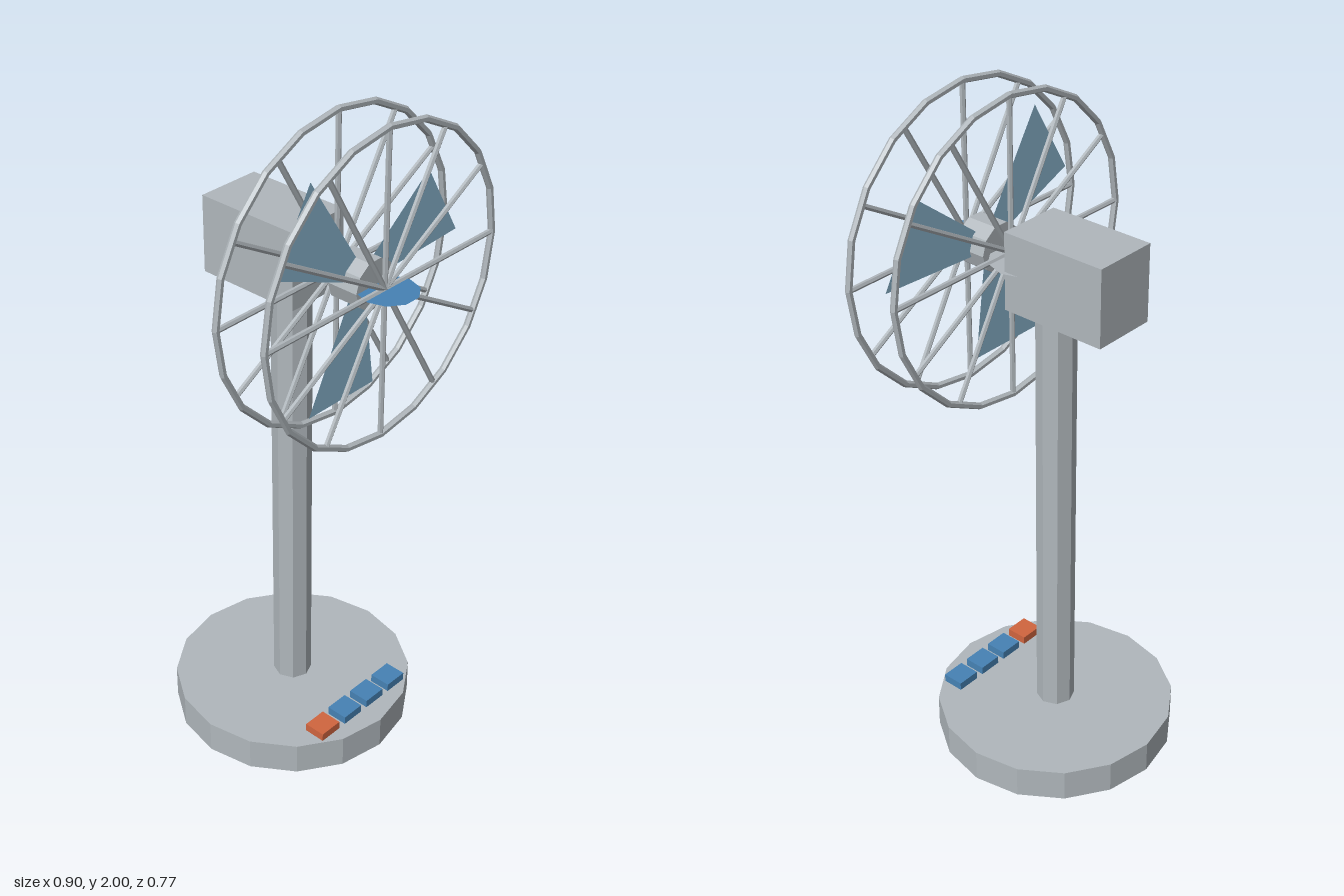
import * as THREE from 'three';

const mat = (name, color) => {
  const m = new THREE.MeshStandardMaterial({ color, flatShading: true });
  m.name = name;
  return m;
};

export function createModel() {
  const grey = mat('grey', 0xb0b7bc);
  const blue = mat('blue', 0x4682b4);
  const paleBlue = mat('paleBlue', 0x8bb6d0);
  const orange = mat('orange', 0xd0653f);
  for (const m of [grey, blue, paleBlue]) m.side = THREE.DoubleSide;

  const AXIS_Y = 1.549; // height of the fan axis
  const group = new THREE.Group();
  const add = (name, geometry, material, x, y, z, parent = group) => {
    const mesh = new THREE.Mesh(geometry, material);
    mesh.name = name;
    mesh.position.set(x, y, z);
    parent.add(mesh);
    return mesh;
  };

  // Stand and motor housing
  add('base', new THREE.CylinderGeometry(0.358, 0.358, 0.1, 16), grey, 0, 0.05, -0.03);
  add('pole', new THREE.CylinderGeometry(0.057, 0.057, 1.36, 8), grey, 0, 0.78, -0.03);
  add('motorHousing', new THREE.BoxGeometry(0.196, 0.227, 0.325), grey, 0, 1.55, -0.0975);

  // Row of buttons, the first one orange
  const buttonShape = new THREE.BoxGeometry(0.073, 0.026, 0.066);
  for (let i = 0; i < 4; i++) {
    add(i ? 'speedButton' : 'offButton', buttonShape, i ? blue : orange,
      -0.147 + i * 0.098, 0.112, 0.229);
  }

  // Thin horizontal discs on the fan axis
  const disc = (name, radius, material, z) => {
    const geometry = new THREE.CircleGeometry(radius, 10).rotateX(-Math.PI / 2);
    add(name, geometry, material, 0, AXIS_Y, z);
  };
  disc('rearPlate', 0.113, grey, 0.065);
  disc('frontPlate', 0.083, blue, 0.306);

  // Hub with three flat, swept blades
  const hub = new THREE.CylinderGeometry(0.073, 0.073, 0.096, 10, 1, false, Math.PI / 2);
  add('hub', hub.rotateX(Math.PI / 2), grey, 0, AXIS_Y, 0.213);
  const bladeShape = new THREE.Shape([
    new THREE.Vector2(-0.038, -0.03),
    new THREE.Vector2(-0.195, -0.335),
    new THREE.Vector2(0.057, -0.335),
    new THREE.Vector2(0.015, -0.03),
  ]);
  const bladeGeometry = new THREE.ShapeGeometry(bladeShape);
  for (let i = 0; i < 3; i++) {
    add('blade', bladeGeometry, paleBlue, 0, AXIS_Y, 0.213).rotation.z = i * Math.PI * 2 / 3;
  }

  // Front and rear guards: a ring with twelve spokes
  const ring = new THREE.TorusGeometry(0.441, 0.01, 6, 20);
  const spoke = new THREE.CylinderGeometry(0.008, 0.008, 0.441, 6).translate(0, 0.2205, 0);
  for (const [name, z] of [['frontGuard', 0.293], ['rearGuard', 0.13]]) {
    const guard = new THREE.Group();
    guard.name = name;
    guard.position.set(0, AXIS_Y, z);
    add('guardRing', ring, grey, 0, 0, 0, guard);
    for (let i = 0; i < 12; i++) {
      add('spoke', spoke, grey, 0, 0, 0, guard).rotation.z = i * Math.PI / 6;
    }
    group.add(guard);
  }
  return group;
}
